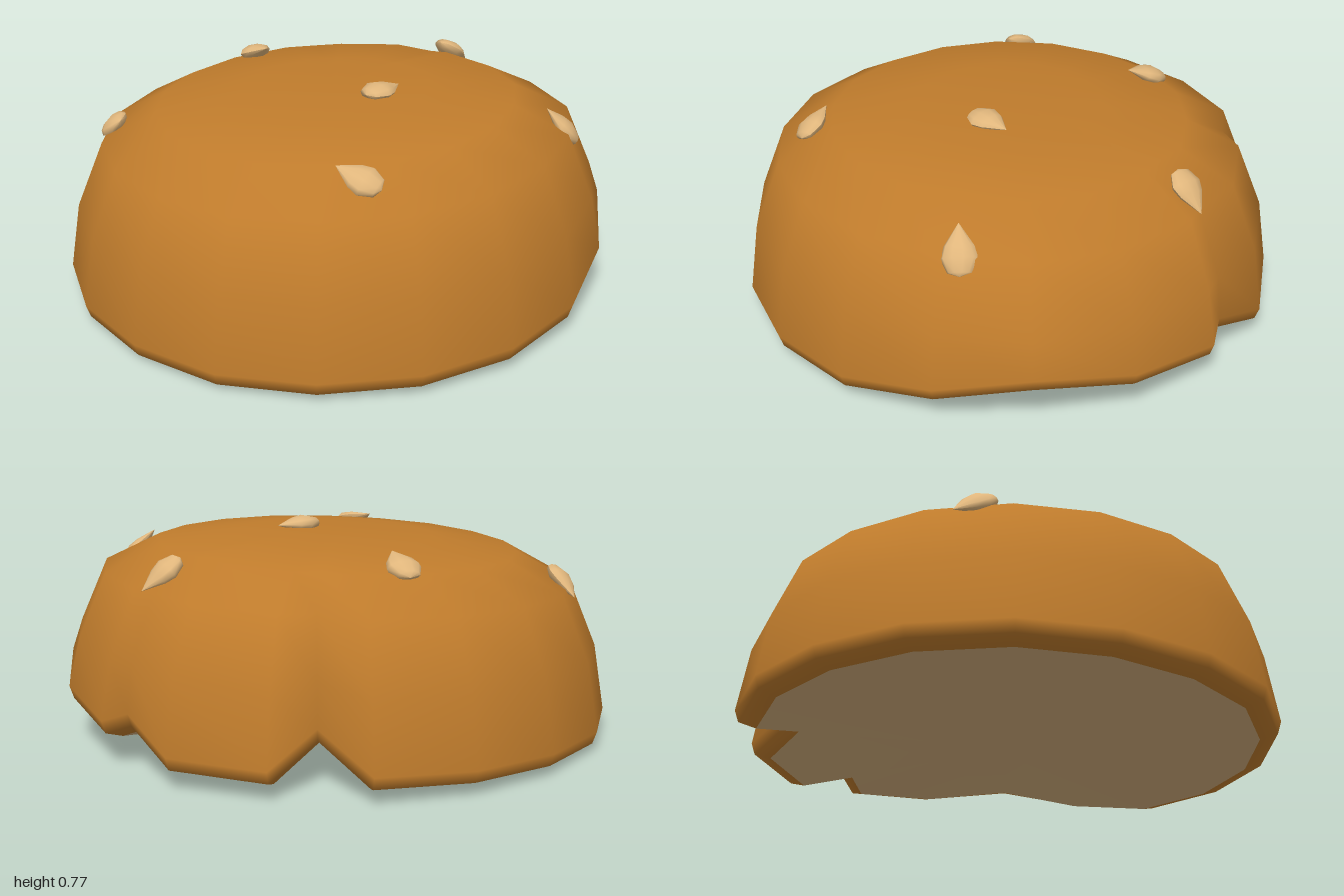
import * as THREE from 'three';

// Plan outline seen from above [x, z, lift of the lower edge], counter-clockwise from the front
const OUTLINE = [
  [0.02, 0.99, 0], [0.36, 0.93, 0], [0.65, 0.75, 0], [0.87, 0.48, 0], [0.98, 0.15, 0],
  [0.97, -0.2, 0.01], [0.85, -0.53, 0.07], [0.65, -0.8, 0.15], [0.33, -0.96, 0.09], [-0.02, -1, 0.05],
  [-0.11, -0.945, 0.09], [-0.36, -0.935, 0], [-0.65, -0.73, 0], [-0.61, -0.51, 0.1], [-0.87, -0.47, 0],
  [-0.98, -0.14, 0], [-0.97, 0.2, 0], [-0.85, 0.52, 0], [-0.62, 0.78, 0], [-0.32, 0.94, 0],
];
// Dome cross-section, top to bottom: [radius factor, height, share of the lift]
const PROFILE = [
  [0.35, 0.73, 0], [0.66, 0.69, 0], [0.86, 0.585, 0], [0.96, 0.34, 0.1],
  [1, 0.09, 1], [0.985, 0.045, 1], [0.92, 0.026, 1],
];

// Point on the dome; bites cap the radius, and the whole bun leans a little
function domePoint([ox, oz, lift], [s, h, share]) {
  const r = Math.hypot(ox, oz);
  const radius = h < 0.08 ? s * r : Math.min(s * Math.max(r, 0.97), r);
  const x = ox / r * radius, z = oz / r * radius;
  return [x, h + 0.04 * h * x - 0.027 * z + lift * share, z];
}

function buildGeometry(points, index) {
  const g = new THREE.BufferGeometry();
  g.setAttribute('position', new THREE.Float32BufferAttribute(points.flat(), 3));
  g.setIndex(index);
  g.computeVertexNormals();
  return g;
}

function domeGeometry() {
  const n = OUTLINE.length, points = [[0, 0.725, 0]], index = [];
  PROFILE.forEach(p => OUTLINE.forEach(o => points.push(domePoint(o, p))));
  for (let j = 0; j < n; j++) {
    const k = (j + 1) % n;
    index.push(0, 1 + j, 1 + k);
    for (let i = 0; i < PROFILE.length - 1; i++) {
      const a = 1 + i * n, b = a + n;
      index.push(a + j, b + j, b + k, a + j, b + k, a + k);
    }
  }
  return buildGeometry(points, index);
}

function undersideGeometry() {
  const n = OUTLINE.length, points = [[0, 0.035, 0]], index = [];
  OUTLINE.forEach(o => points.push(domePoint(o, PROFILE[PROFILE.length - 1])));
  for (let j = 0; j < n; j++) index.push(0, 1 + (j + 1) % n, 1 + j);
  return buildGeometry(points, index);
}

// Flattened teardrop with its tip along +x
function seedGeometry() {
  const profile = [[0, -0.06], [0.04, -0.047], [0.062, 0], [0.05, 0.04], [0, 0.115]];
  const g = new THREE.LatheGeometry(profile.map(p => new THREE.Vector2(...p)), 10);
  g.rotateZ(-Math.PI / 2);
  g.scale(1, 0.5, 1);
  g.computeVertexNormals();
  return g;
}

export function createModel() {
  const crust = new THREE.MeshStandardMaterial({ color: 0xc07c2c });
  crust.name = 'toasted crust';
  const crumb = new THREE.MeshStandardMaterial({ color: 0xd2ae7c });
  crumb.name = 'pale crumb';
  const seedColor = new THREE.MeshStandardMaterial({ color: 0xe0b67c });
  seedColor.name = 'sesame';

  const model = new THREE.Group();
  model.name = 'bunTop';
  const add = (geometry, material, name) => {
    const mesh = new THREE.Mesh(geometry, material);
    mesh.name = name;
    model.add(mesh);
    return mesh;
  };
  add(domeGeometry(), crust, 'dome');
  add(undersideGeometry(), crumb, 'underside');

  // Seeds: x, y, z and the tip direction in plan
  const seeds = [
    [-0.09, 0.68, -0.77, 0.2, -1], [0.69, 0.61, -0.5, -0.7, 0.8], [-0.6, 0.695, -0.155, 1, 0.25],
    [0.17, 0.745, -0.05, 0, -1], [0.575, 0.665, 0.445, -1, 0.35], [-0.59, 0.585, 0.565, -1, -0.2],
  ];
  const seedShape = seedGeometry();
  seeds.forEach(([x, y, z, tx, tz], i) => {
    const r = Math.hypot(x, z), tilt = 0.85 * Math.pow(r / 0.85, 2.5);
    const up = new THREE.Vector3(x / r * Math.sin(tilt), Math.cos(tilt), z / r * Math.sin(tilt));
    const tip = new THREE.Vector3(tx, -(tx * up.x + tz * up.z) / up.y, tz).normalize();
    const side = new THREE.Vector3().crossVectors(tip, up);
    const seed = add(seedShape, seedColor, 'seed' + (i + 1));
    seed.quaternion.setFromRotationMatrix(new THREE.Matrix4().makeBasis(tip, up, side));
    seed.position.set(x, y, z);
  });
  return model;
}
